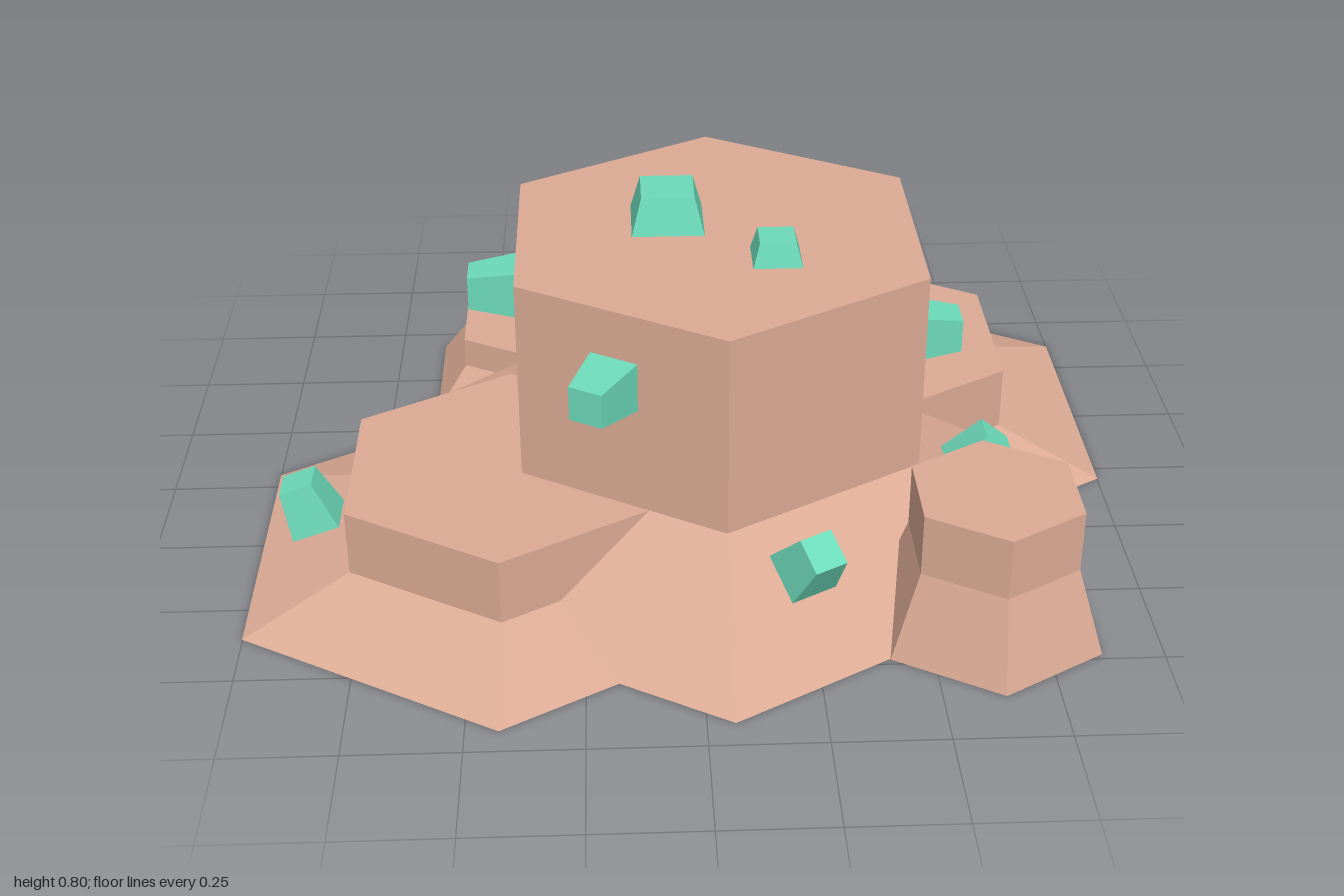
import * as THREE from 'three';

const rockMaterial = new THREE.MeshStandardMaterial({ color: 0xdcab95, flatShading: true });
const crystalMaterial = new THREE.MeshStandardMaterial({ color: 0x6cdab9, flatShading: true });

// Hexagonal column with a flared foot, corners pointing along z
function hexRock(name, x, z, footRadius, radius, footTop, top, zScale = 1) {
  const profile = [[0, 0], [footRadius, 0], [radius, footTop], [radius, top], [0, top]]
    .map(([r, y]) => new THREE.Vector2(r, y));
  const rock = new THREE.Mesh(new THREE.LatheGeometry(profile, 6), rockMaterial);
  rock.name = name;
  rock.position.set(x, 0, z);
  rock.scale.z = zScale;
  return rock;
}

// Tapered square crystal growing from a surface point along its normal
function crystal(name, base, normal, height = 0.12, width = 0.12, tipWidth = 0.08) {
  const sink = 0.02;
  const geometry = new THREE.CylinderGeometry(tipWidth * Math.SQRT1_2, width * Math.SQRT1_2, height + sink, 4);
  geometry.rotateY(Math.PI / 4);
  geometry.translate(0, (height - sink) / 2, 0);
  const mesh = new THREE.Mesh(geometry, crystalMaterial);
  mesh.name = name;
  const up = new THREE.Vector3(...normal).normalize();
  const side = new THREE.Vector3(0, 1, 0).cross(up);
  if (side.length() < 0.001) side.set(1, 0, 0);
  side.normalize();
  const ahead = side.clone().cross(up);
  mesh.quaternion.setFromRotationMatrix(new THREE.Matrix4().makeBasis(side, up, ahead));
  mesh.position.set(...base);
  return mesh;
}

export function createModel() {
  const model = new THREE.Group();
  model.name = 'crystalRocks';

  // Rock columns
  model.add(
    hexRock('mainColumn', 0.06, 0.065, 0.866, 0.52, 0.235, 0.71),
    hexRock('frontTerrace', -0.43, 0.277, 0.66, 0.398, 0.08, 0.235),
    hexRock('backTerrace', 0.43, -0.285, 0.66, 0.398, 0.08, 0.235),
    hexRock('lowStump', -0.33, -0.513, 0.352, 0.265, 0.11, 0.185, 0.95),
    hexRock('tallStump', 0.635, 0.602, 0.265, 0.197, 0.2, 0.345),
  );

  // Crystals on the flat tops
  const up = [0, 1, 0];
  model.add(
    crystal('largeTopCrystal', [-0.05, 0.71, 0.015], up, 0.085, 0.175, 0.12),
    crystal('smallTopCrystal', [0.185, 0.71, 0.21], up, 0.055),
    crystal('terraceCrystal', [0.56, 0.235, -0.468], up),
    crystal('stumpCrystal', [-0.37, 0.185, -0.49], up, 0.05),
  );

  // Crystals on the walls of the main column
  const c = Math.sqrt(3) / 2;
  model.add(
    crystal('wallCrystal', [-0.39, 0.55, 0.013], [-1, 0, 0]),
    crystal('wallCrystal', [0.51, 0.445, 0.07], [1, 0, 0]),
    crystal('wallCrystal', [-0.18, 0.54, 0.45], [-0.5, 0, c]),
    crystal('wallCrystal', [-0.078, 0.375, -0.385], [-0.5, 0, -c]),
    crystal('wallCrystal', [0.215, 0.525, -0.365], [0.5, 0, -c], 0.06),
  );

  // Crystals on the sloping feet
  model.add(
    crystal('slopeCrystal', [-0.875, 0.045, 0.217], [-0.335, 0.94, 0]),
    crystal('slopeCrystal', [0.222, 0.152, 0.614], [0.308, 0.788, 0.533]),
    crystal('slopeCrystal', [0.635, 0.137, 0.21], [0.616, 0.788, 0]),
  );

  return model;
}
